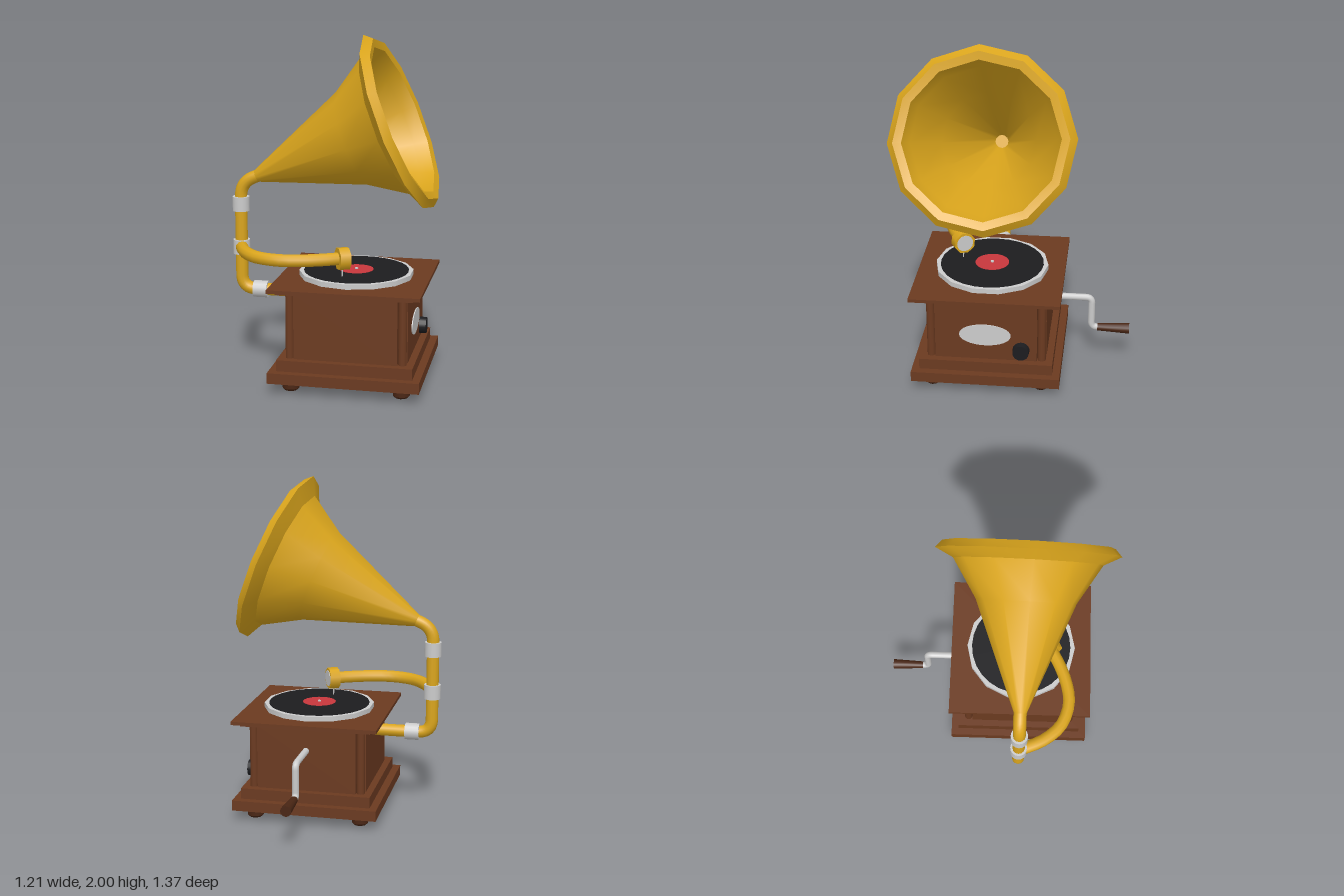
import * as THREE from 'three';
import { toCreasedNormals } from 'three/addons/utils/BufferGeometryUtils.js';

const mat = (color) => new THREE.MeshStandardMaterial({ color });
const V = (x, y, z) => new THREE.Vector3(x, y, z);
const UP = V(0, 1, 0);
const CX = 0.132, CZ = 0.135; // cabinet centre

export function createModel() {
  const root = new THREE.Group();
  const wood = mat(0x6b3a20), darkWood = mat(0x4a2614), brass = mat(0xdaa51c);
  const metal = mat(0xcccccc), black = mat(0x1c1c1f), red = mat(0xc8373c);

  const add = (name, geo, material, x = 0, y = 0, z = 0) => {
    const m = new THREE.Mesh(geo, material);
    m.name = name;
    m.position.set(x, y, z);
    root.add(m);
    return m;
  };
  // square slab of the cabinet between two heights
  const slab = (name, half, y0, y1) =>
    add(name, new THREE.BoxGeometry(half * 2, y1 - y0, half * 2), wood, CX, (y0 + y1) / 2, CZ);
  // cylinder centred at a point, along a direction
  const rod = (name, material, center, dir, r0, r1, length, sides) => {
    const m = add(name, new THREE.CylinderGeometry(r1, r0, length, sides), material, ...center.toArray());
    m.quaternion.setFromUnitVectors(UP, dir.clone().normalize());
    return m;
  };
  // tube through straight runs with rounded bends
  const pipe = (name, material, pts, r, bend, sides = 12) => {
    const path = new THREE.CurvePath();
    let start = pts[0];
    for (let i = 1; i < pts.length - 1; i++) {
      const a = pts[i].clone().add(pts[i - 1].clone().sub(pts[i]).setLength(bend));
      const b = pts[i].clone().add(pts[i + 1].clone().sub(pts[i]).setLength(bend));
      path.add(new THREE.LineCurve3(start, a));
      path.add(new THREE.QuadraticBezierCurve3(a, pts[i], b));
      start = b;
    }
    path.add(new THREE.LineCurve3(start, pts[pts.length - 1]));
    return add(name, new THREE.TubeGeometry(path, 60, r, sides), material);
  };

  // Cabinet: stepped plinth, notched body with corner posts, stepped top
  slab('plinthLower', 0.432, 0.063, 0.125);
  slab('plinthUpper', 0.388, 0.125, 0.19);
  const h = 0.348, n = 0.296;
  const plan = new THREE.Shape([
    [h, -n], [h, n], [n, n], [n, h], [-n, h], [-n, n],
    [-h, n], [-h, -n], [-n, -n], [-n, -h], [n, -h], [n, -n],
  ].map(([x, y]) => new THREE.Vector2(x, y)));
  const body = new THREE.ExtrudeGeometry(plan, { depth: 0.382, bevelEnabled: false });
  body.rotateX(-Math.PI / 2);
  add('cabinetBody', body, wood, CX, 0.19, CZ);
  slab('topMoulding', 0.388, 0.572, 0.59);
  slab('topPlate', 0.432, 0.59, 0.61);

  const footGeo = toCreasedNormals(new THREE.LatheGeometry([
    [0, 0], [0.038, 0], [0.049, 0.012], [0.049, 0.065], [0, 0.065],
  ].map(([x, y]) => new THREE.Vector2(x, y)), 12), 0.6);
  for (const sx of [-1, 1]) for (const sz of [-1, 1]) {
    add('cornerPost', new THREE.CylinderGeometry(0.024, 0.024, 0.384, 12), wood,
      CX + sx * 0.323, 0.381, CZ + sz * 0.323);
    add('foot', footGeo, darkWood, CX + sx * 0.319, 0, CZ + sz * 0.319);
  }

  // Side fittings: oval plate and knob
  const plate = rod('ovalPlate', metal, V(CX + h, 0.352, 0.14), V(1, 0, 0), 1, 1, 0.012, 32);
  plate.scale.set(0.068, 1, 0.15);
  rod('knob', black, V(0.498, 0.262, -0.07), V(1, 0, 0), 0.05, 0.047, 0.046, 16);

  // Turntable
  add('platter', new THREE.CylinderGeometry(0.333, 0.333, 0.03, 14), metal, CX, 0.624, CZ);
  add('record', new THREE.CylinderGeometry(0.305, 0.305, 0.004, 28), black, CX, 0.64, CZ);
  add('recordLabel', new THREE.CylinderGeometry(0.1, 0.1, 0.004, 24), red, CX, 0.642, CZ);
  add('spindle', new THREE.CylinderGeometry(0.01, 0.01, 0.014, 10), metal, CX, 0.643, CZ);

  // Supply pipe from the cabinet to the horn, with collars
  const throat = V(-0.46, 1.17, CZ), rim = V(0.376, 1.513, 0.157);
  const axis = rim.clone().sub(throat).normalize();
  const px = -0.558;
  pipe('hornPipe', brass, [
    V(-0.2, 0.49, CZ), V(px, 0.49, CZ), V(px, 1.13, CZ), throat.clone().addScaledVector(axis, 0.02),
  ], 0.037, 0.085);
  rod('collarUpper', metal, V(px, 1.003, CZ), UP, 0.05, 0.05, 0.085, 16);
  rod('collarMiddle', metal, V(px, 0.745, CZ), UP, 0.05, 0.05, 0.085, 16);
  rod('collarLower', metal, V(-0.442, 0.49, CZ), V(1, 0, 0), 0.05, 0.05, 0.085, 16);

  // Twelve-sided horn with a thick bevelled rim (radius, distance along axis)
  const hornGeo = toCreasedNormals(new THREE.LatheGeometry([
    [0.037, 0], [0.285, 0.63], [0.423, 0.852], [0.526, 0.904], [0.487, 0.947],
    [0.44, 0.935], [0.408, 0.856], [0.272, 0.635], [0.04, 0.05], [0, 0.05],
  ].map(([x, y]) => new THREE.Vector2(x, y)), 12), 0.51);
  hornGeo.rotateY(Math.PI / 2 + 0.045);
  const horn = add('horn', hornGeo, brass, ...throat.toArray());
  horn.quaternion.setFromUnitVectors(UP, axis);

  // Tone arm sweeping to the sound box above the record
  const armPath = new THREE.CatmullRomCurve3([
    [px, 0.135], [-0.535, 0.2], [-0.49, 0.29], [-0.4, 0.385],
    [-0.26, 0.43], [-0.125, 0.41], [0, 0.36], [0.085, 0.312],
  ].map(([x, z]) => V(x, 0.748, z)));
  add('toneArm', new THREE.TubeGeometry(armPath, 16, 0.037, 10), brass);
  const headDir = V(0.87, 0, -0.49).normalize(), head = V(0.087, 0.748, 0.314);
  rod('soundBox', brass, head, headDir, 0.066, 0.066, 0.062, 8);
  rod('soundBoxFace', metal, head.clone().addScaledVector(headDir, 0.03), headDir, 0.05, 0.05, 0.008, 16);
  rod('needle', metal, V(0.083, 0.668, 0.314), UP, 0.003, 0.006, 0.06, 6);

  // Crank at the back
  pipe('crank', metal, [
    V(CX, 0.435, -0.2), V(CX, 0.435, -0.46), V(CX, 0.235, -0.46), V(CX, 0.235, -0.51),
  ], 0.02, 0.035, 10);
  rod('crankHandle', darkWood, V(CX, 0.235, -0.592), V(0, 0, -1), 0.022, 0.032, 0.19, 12);

  return root;
}
